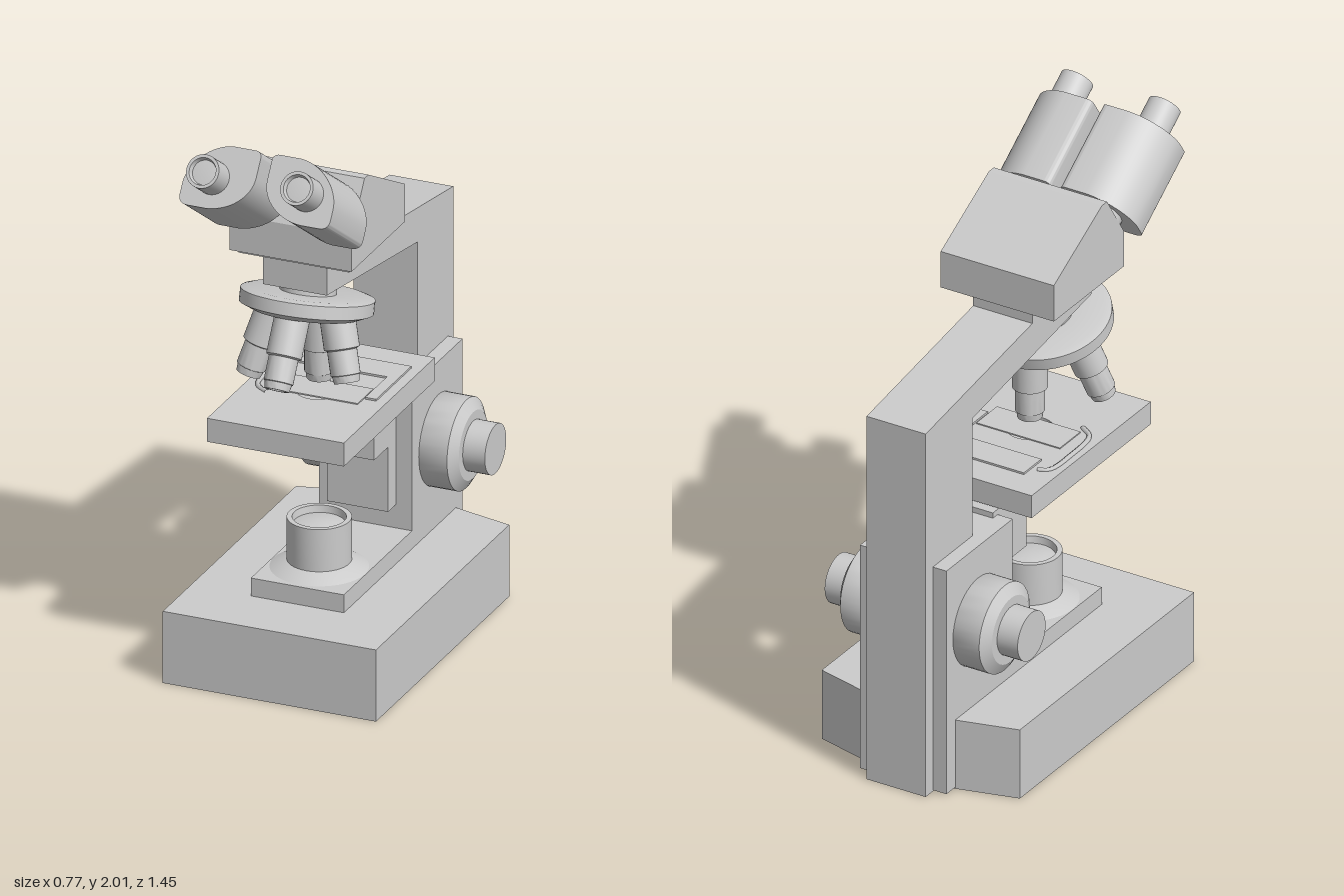
import * as THREE from 'three';
import { toCreasedNormals } from 'three/addons/utils/BufferGeometryUtils.js';

const material = new THREE.MeshStandardMaterial({ color: 0xcccccc });

function add(parent, name, geometry, x = 0, y = 0, z = 0) {
  const mesh = new THREE.Mesh(geometry, material);
  mesh.name = name;
  mesh.position.set(x, y, z);
  parent.add(mesh);
  return mesh;
}

// Box given by its limits on each axis
function block(parent, name, [x0, x1], [y0, y1], [z0, z1]) {
  return add(parent, name, new THREE.BoxGeometry(x1 - x0, y1 - y0, z1 - z0),
    (x0 + x1) / 2, (y0 + y1) / 2, (z0 + z1) / 2);
}

const outline = (points) => new THREE.Shape(points.map(([a, b]) => new THREE.Vector2(a, b)));

// Side profile of [z, y] points, extruded symmetrically across x
function sideProfile(points, halfWidth) {
  const geometry = new THREE.ExtrudeGeometry(outline(points), { depth: halfWidth * 2, bevelEnabled: false });
  return geometry.translate(0, 0, -halfWidth).rotateY(-Math.PI / 2);
}

// Plan shape in [x, -z], extruded upward
function planShape(shape, depth) {
  return new THREE.ExtrudeGeometry(shape, { depth, bevelEnabled: false, curveSegments: 32 }).rotateX(-Math.PI / 2);
}

// Turned part from [radius, height] points, bottom to top
function turned(points, segments = 40) {
  const profile = points.map(([r, h]) => new THREE.Vector2(r, h));
  return toCreasedNormals(new THREE.LatheGeometry(profile, segments), 0.5);
}

function buildStand(model) {
  add(model, 'base', planShape(outline([
    [-0.385, -0.52], [0.385, -0.52], [0.385, 0.575], [0.17, 0.63], [-0.17, 0.63], [-0.385, 0.575],
  ]), 0.26));
  add(model, 'arm', sideProfile([
    [-0.73, 0], [-0.435, 0], [-0.435, 1.295], [0.31, 1.41], [0.31, 1.53],
    [-0.06, 1.53], [-0.06, 1.475], [-0.73, 1.375],
  ], 0.115));
  add(model, 'focusHousing', sideProfile([
    [-0.685, 0.005], [-0.27, 0.005], [-0.27, 0.85], [-0.685, 0.85],
  ], 0.168));
  block(model, 'lampPlate', [-0.168, 0.168], [0.25, 0.325], [-0.28, 0.29]);

  // Lamp with a recessed lens
  add(model, 'lamp', turned([
    [0, 0.32], [0.165, 0.325], [0.115, 0.35], [0.108, 0.352], [0.108, 0.505],
    [0.09, 0.505], [0.086, 0.48], [0.05, 0.488], [0, 0.492],
  ]), 0, 0, 0.11);

  // Coarse and fine focus knobs on both sides
  for (const side of [-1, 1]) {
    const knob = add(model, side > 0 ? 'leftFocusKnob' : 'rightFocusKnob', turned([
      [0, 0], [0.155, 0], [0.16, 0.01], [0.16, 0.115], [0.12, 0.14],
      [0.088, 0.14], [0.088, 0.22], [0, 0.22],
    ]), side * 0.155, 0.57, -0.485);
    knob.rotation.z = -side * Math.PI / 2;
  }
}

function buildStage(model) {
  add(model, 'stageBracket', sideProfile([
    [-0.3, 0.41], [-0.205, 0.41], [-0.205, 0.645], [-0.09, 0.645], [-0.09, 0.87], [-0.3, 0.87],
  ], 0.11));

  const plate = outline([[-0.247, -0.47], [0.247, -0.47], [0.247, 0.278], [-0.247, 0.278]]);
  plate.holes.push(new THREE.Path().absellipse(0, -0.11, 0.08, 0.08, 0, Math.PI * 2));
  add(model, 'stage', planShape(plate, 0.085), 0, 0.88, 0);
  block(model, 'stageUnderplate', [-0.14, 0.14], [0.86, 0.882], [-0.12, 0.35]);
  add(model, 'condenser', turned([
    [0, 0.795], [0.055, 0.795], [0.06, 0.785], [0.08, 0.785], [0.08, 0.81], [0.125, 0.81],
    [0.125, 0.86], [0.07, 0.86], [0.07, 0.94], [0, 0.945],
  ]), 0, 0, 0.11);

  // Slide holder frame, glass slide and hooked finger
  const frame = outline([
    [-0.15, 0.17], [0.21, 0.17], [0.21, -0.12], [0.17, -0.12], [0.17, 0.06], [-0.15, 0.06],
  ]);
  add(model, 'slideHolder', planShape(frame, 0.008), 0, 0.964, 0);
  block(model, 'slide', [-0.16, 0.165], [0.964, 0.969], [0.04, 0.17]);
  const finger = new THREE.CatmullRomCurve3([
    [-0.15, 0.2], [-0.2, 0.16], [-0.215, 0.02], [-0.205, -0.1], [-0.17, -0.12],
  ].map(([x, z]) => new THREE.Vector3(x, 0.966, z)));
  add(model, 'slideFinger', new THREE.TubeGeometry(finger, 24, 0.009, 6));
}

function buildNosepiece(model) {
  // Every objective axis meets at this group's origin
  const tilt = 0.27;
  const nosepiece = new THREE.Group();
  nosepiece.name = 'nosepiece';
  nosepiece.position.set(0, 1.69, 0.11);
  nosepiece.rotation.x = -tilt;
  model.add(nosepiece);
  add(nosepiece, 'turret', turned([
    [0, -0.425], [0.18, -0.415], [0.225, -0.395], [0.225, -0.35], [0.2, -0.342],
    [0.095, -0.342], [0.095, -0.26], [0, -0.26],
  ], 56));
  [0.68, 0.675, 0.68, 0.645].forEach((reach, i) => {
    const objective = add(nosepiece, 'objective' + (i + 1), turned([
      [0, -reach + 0.008], [0.028, -reach + 0.008], [0.032, -reach], [0.042, -reach],
      [0.046, -reach + 0.025], [0.05, -reach + 0.027], [0.05, -reach + 0.11],
      [0.06, -reach + 0.115], [0.06, -0.375], [0, -0.375],
    ], 28));
    objective.rotation.set(tilt, i * Math.PI / 2, 0, 'YXZ');
  });
}

function buildHead(model) {
  add(model, 'head', sideProfile([
    [-0.095, 1.53], [0.347, 1.53], [0.347, 1.66], [0.239, 1.825], [0.207, 1.825], [-0.095, 1.666],
  ], 0.22));
  block(model, 'headFoot', [-0.2, 0.2], [1.513, 1.531], [-0.065, 0.32]);

  // Binocular bodies: local z runs along the viewing axis
  const binocular = new THREE.Group();
  binocular.name = 'binocular';
  binocular.position.set(0, 1.634, 0.387);
  binocular.rotation.x = -0.6;
  model.add(binocular);
  for (const s of [-1, 1]) {
    const name = s > 0 ? 'left' : 'right';
    const section = new THREE.Shape();
    section.moveTo(s * 0.02, 0.195);
    section.quadraticCurveTo(s * 0.02, 0.22, s * 0.045, 0.22);
    section.lineTo(s * 0.12, 0.22);
    section.bezierCurveTo(s * 0.2, 0.215, s * 0.272, 0.14, s * 0.272, 0.07);
    section.lineTo(s * 0.272, 0.03);
    section.quadraticCurveTo(s * 0.27, 0, s * 0.235, 0);
    section.lineTo(s * 0.17, 0);
    section.bezierCurveTo(s * 0.09, 0.005, s * 0.02, 0.06, s * 0.02, 0.13);
    section.closePath();
    const body = new THREE.ExtrudeGeometry(section, { depth: 0.326, bevelEnabled: false, curveSegments: 16 });
    add(binocular, name + 'EyeTubeBody', toCreasedNormals(body, 0.5));

    const neck = add(binocular, name + 'Neck', new THREE.CylinderGeometry(0.08, 0.08, 0.08, 32), s * 0.14, 0.11, -0.02);
    neck.rotation.x = Math.PI / 2;
    // Eyepiece with a recessed lens
    const eyepiece = add(binocular, name + 'Eyepiece', turned([
      [0, -0.01], [0.058, -0.01], [0.058, 0.104], [0.047, 0.104], [0.042, 0.085], [0, 0.088],
    ], 32), s * 0.17, 0.105, 0.326);
    eyepiece.rotation.x = Math.PI / 2;
  }
}

export function createModel() {
  const model = new THREE.Group();
  model.name = 'microscope';
  buildStand(model);
  buildStage(model);
  buildNosepiece(model);
  buildHead(model);
  return model;
}
